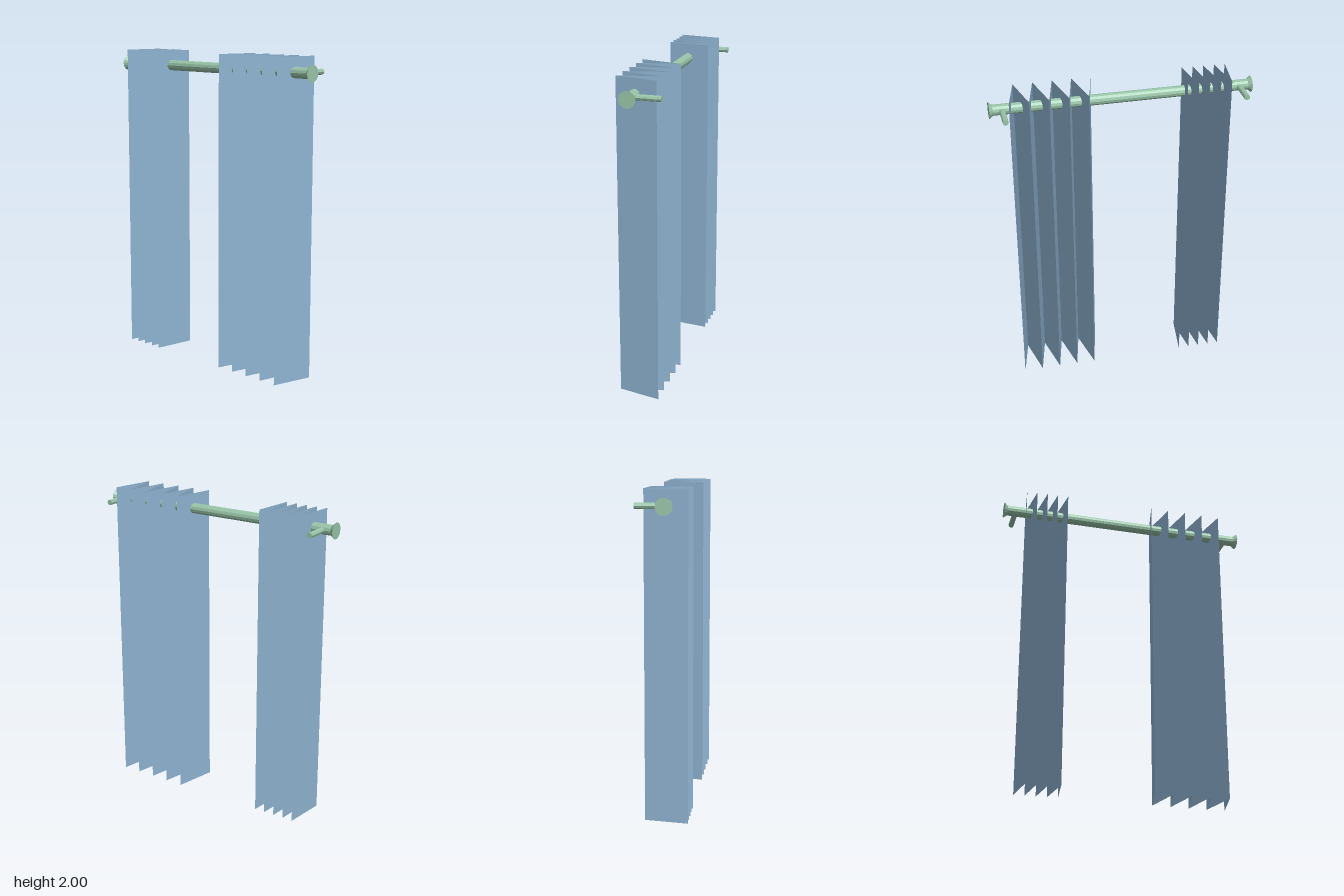
import * as THREE from 'three';

const ROD_X = -0.03, ROD_Y = 1.905;

export function createModel() {
  const model = new THREE.Group();
  model.name = 'curtainsOnRod';
  const metal = new THREE.MeshStandardMaterial({ color: 0x98c4a8, flatShading: true });
  const cloth = new THREE.MeshStandardMaterial({ color: 0x8fb4d2, flatShading: true, side: THREE.DoubleSide });

  const add = (name, geometry, material, x, y, z) => {
    const mesh = new THREE.Mesh(geometry, material);
    mesh.name = name;
    mesh.position.set(x, y, z);
    model.add(mesh);
  };

  // Rod along z
  add('rod', new THREE.CylinderGeometry(0.033, 0.033, 1.6, 12).rotateX(Math.PI / 2), metal, ROD_X, ROD_Y, 0);

  // Flared end caps and wall brackets, mirrored front and back
  for (const s of [1, -1]) {
    const side = s > 0 ? 'front' : 'back';
    const cap = new THREE.CylinderGeometry(0.051, 0.033, 0.022, 16).rotateX(s * Math.PI / 2);
    add(side + 'EndCap', cap, metal, ROD_X, ROD_Y, s * 0.8);
    const bracket = new THREE.CylinderGeometry(0.018, 0.018, 0.18, 8).rotateZ(Math.PI / 2);
    add(side + 'Bracket', bracket, metal, 0.06, ROD_Y, s * 0.733);
  }

  // Pleated curtain: a thin sheet folded in a zigzag from zStart to zEnd
  const pleats = (zStart, zEnd) => {
    const folds = 9;
    const geometry = new THREE.PlaneGeometry(1, 2, folds, 1);
    const p = geometry.attributes.position;
    for (let i = 0; i < p.count; i++) {
      const k = i % (folds + 1);
      p.setX(i, k % 2 ? -0.155 : 0.11);
      p.setZ(i, THREE.MathUtils.lerp(zStart, zEnd, k / folds));
    }
    const flat = geometry.toNonIndexed();
    flat.computeVertexNormals();
    return flat;
  };
  add('frontCurtain', pleats(0.705, 0.17), cloth, 0, 1, 0);
  add('backCurtain', pleats(-0.37, -0.68), cloth, 0, 1, 0);

  return model;
}
